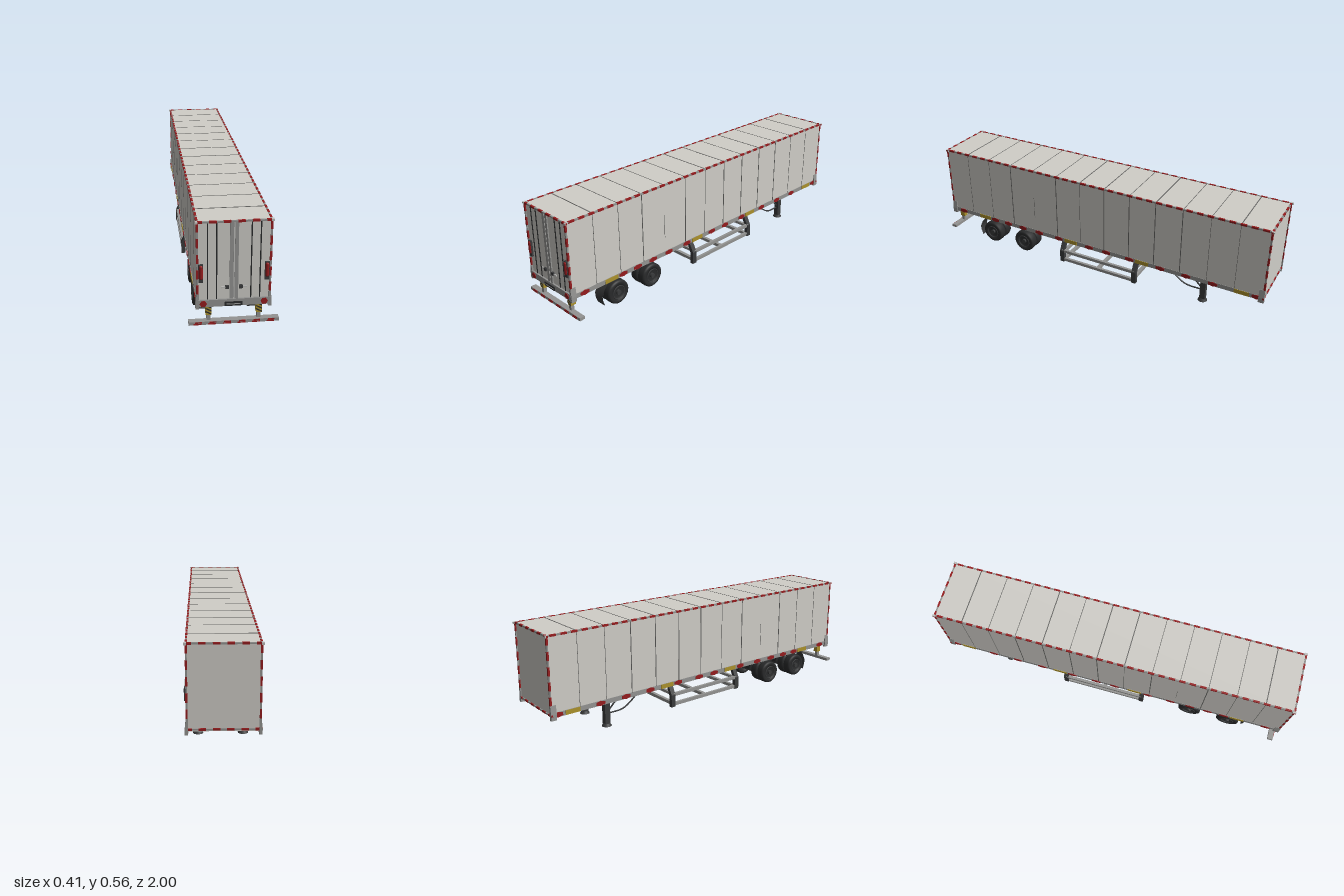
import * as THREE from 'three';

const mat = (name, color, side = THREE.FrontSide) => {
  const m = new THREE.MeshStandardMaterial({ color, side });
  m.name = name;
  return m;
};

export function createModel() {
  const panel = mat('panelGrey', 0xd0cec8), metal = mat('metalGrey', 0x949492),
    dark = mat('darkSteel', 0x3a3b3c, THREE.DoubleSide), rubber = mat('rubber', 0x2a2b2c),
    red = mat('red', 0x961c1e), yellow = mat('yellow', 0xac922c), seamMat = mat('seamGrey', 0x686866),
    silver = mat('silver', 0xc0c0be);

  const root = new THREE.Group();
  root.name = 'boxTrailer';
  const body = new THREE.Group();
  body.name = 'body';
  body.position.x = -0.004;
  root.add(body);

  const add = (name, geo, m, x, y, z, parent = body) => {
    const mesh = new THREE.Mesh(geo, m);
    mesh.name = name;
    mesh.position.set(x, y, z);
    parent.add(mesh);
    return mesh;
  };
  const box = (name, m, w, h, d, x, y, z, parent) =>
    add(name, new THREE.BoxGeometry(w, h, d), m, x, y, z, parent);
  const poly = (pts) => new THREE.Shape(pts.map(([x, y]) => new THREE.Vector2(x, y)));
  const slab = (pts, depth) => new THREE.ExtrudeGeometry(poly(pts), { depth, bevelEnabled: false })
    .translate(0, 0, -depth / 2);
  const SIDES = [-1, 1];

  // cargo box and floor
  box('cargoBox', panel, 0.326, 0.39, 1.971, 0, 0.358, -0.0025);
  box('floor', panel, 0.32, 0.014, 1.96, 0, 0.157, -0.0025);

  // panel seams over roof and sides: wide ones, hairlines and one short seam
  for (let i = 0; i < 12; i++) {
    const z = 0.835 - i * 0.1518;
    box('roofSeam', seamMat, 0.32, 0.002, [0, 5, 6, 8, 11].includes(i) ? 0.005 : 0.003, 0, 0.5533, z);
    const wide = [2, 4, 6, 7, 8, 9].includes(i);
    for (const s of SIDES) {
      if (i === 3) box('shortSeam', seamMat, 0.002, 0.13, 0.002, s * 0.1635, 0.32, z);
      else box('sideSeam', seamMat, 0.002, 0.375, wide ? 0.0045 : 0.002, s * 0.1635, 0.36, z);
    }
  }

  // edge trim with red reflective dashes; axis selects the running direction
  const trim = (axis, len, x, y, z, n, period, fill) => {
    const t = 0.008;
    const size = (l, k) => ['x', 'y', 'z'].map((a) => (a === axis ? l : k));
    box('edgeTrim', metal, ...size(len, t), x, y, z);
    for (let i = 0; i < n; i++) {
      const p = new THREE.Vector3(x, y, z);
      p[axis] += (i + 0.5 - n / 2) * period;
      box('reflectiveDash', red, ...size(period * fill, t + 0.0016), p.x, p.y, p.z);
    }
  };
  for (const s of SIDES) {
    trim('z', 1.97, s * 0.161, 0.551, -0.003, 35, 0.0562, 0.6);
    for (const z of [-0.989, 0.985]) trim('y', 0.34, s * 0.161, 0.382, z, 5, 0.074, 0.58);
  }
  for (const z of [-0.989, 0.985]) trim('x', 0.32, 0, 0.551, z, 6, 0.062, 0.52);
  trim('x', 0.32, 0, 0.162, -0.989, 6, 0.062, 0.52);

  // corner castings at the top and flared post feet at the bottom
  for (const s of SIDES) for (const z of [-0.992, 0.984]) {
    box('cornerCap', silver, 0.012, 0.01, 0.016, s * 0.165, 0.551, z);
    const foot = slab([[0.155, 0.137], [0.17, 0.137], [0.17, 0.165], [0.165, 0.212], [0.155, 0.212]], 0.03);
    const m = add('postFoot', foot, metal, 0, 0, z > 0 ? 0.976 : -0.979);
    if (s < 0) m.rotation.y = Math.PI;
  }

  // lower side rails with markers
  const lamp = new THREE.CylinderGeometry(1, 1, 1, 6);
  lamp.rotateZ(Math.PI / 2).rotateX(Math.PI / 2).scale(0.004, 0.013, 0.029);
  const yellowZ = [0.745, 0.14, -0.31, -0.875];
  const redZ = [0.91, 0.67, 0.575, 0.47, 0.355, 0.22, 0.02, -0.09, -0.235, -0.42, -0.57, -0.72, -0.955];
  for (const s of SIDES) {
    box('lowerRail', metal, 0.008, 0.025, 1.96, s * 0.161, 0.161, -0.0025);
    for (const z of yellowZ) box('yellowMarker', yellow, 0.004, 0.023, 0.08, s * 0.1655, 0.161, z);
    for (const z of redZ) add('sideMarker', lamp, red, s * 0.166, 0.161, z);
  }

  // rear doors: seams, centre post, handles, sill
  const Z = 0.984;
  for (const s of SIDES) {
    for (const x of [0.076, 0.116]) box('doorSeam', rubber, 0.005, 0.365, 0.004, s * x, 0.363, Z);
    box('centrePost', metal, 0.016, 0.368, 0.01, s * 0.011, 0.364, Z);
    box('doorHandle', silver, 0.034, 0.007, 0.005, s * 0.041, 0.241, Z + 0.006);
    box('handleLatch', dark, 0.016, 0.015, 0.01, s * 0.0305, 0.241, Z + 0.006);
    // tail lights
    box('lightPlate', dark, 0.02, 0.086, 0.01, s * 0.146, 0.312, Z + 0.004);
    const light = new THREE.CapsuleGeometry(0.0088, 0.052, 4, 10);
    add('tailLight', light, red, s * 0.1455, 0.318, Z + 0.007);
    const hex = new THREE.CylinderGeometry(0.016, 0.016, 0.006, 6).rotateX(Math.PI / 2).rotateZ(Math.PI / 6);
    add('hexReflector', hex, red, s * 0.136, 0.164, Z + 0.009);
  }
  box('lockRod', silver, 0.005, 0.368, 0.012, 0, 0.364, Z);
  box('rearSill', metal, 0.33, 0.034, 0.02, 0, 0.164, Z - 0.002);
  box('plateHolder', rubber, 0.08, 0.02, 0.006, -0.002, 0.159, Z + 0.009);
  box('plateBar', metal, 0.064, 0.004, 0.003, -0.002, 0.159, Z + 0.0125);

  // rear underride bumper with striped supports
  const bumper = new THREE.Group();
  bumper.name = 'bumper';
  root.add(bumper);
  box('bumperBar', metal, 0.41, 0.016, 0.03, 0, 0.059, 0.967, bumper);
  for (let i = 0; i < 6; i++) {
    const x = -0.165 + i * 0.066;
    box('bumperDash', red, 0.031, 0.006, 0.003, x + 0.004, 0.063, 0.9825, bumper);
    box('bumperDash', red, 0.036, 0.006, 0.003, x, 0.055, 0.9825, bumper);
  }
  for (const s of SIDES) {
    box('bumperSupport', yellow, 0.026, 0.054, 0.03, s * 0.114, 0.122, 0.957, bumper);
    box('bumperStem', metal, 0.017, 0.04, 0.018, s * 0.114, 0.08, 0.96, bumper);
    for (let i = 0; i < 3; i++) {
      const y = 0.1 + i * 0.016;
      add('warningStripe', slab([[-0.013, y + 0.01], [0.013, y - 0.004], [0.013, y + 0.002], [-0.013, y + 0.016]], 0.002),
        rubber, s * 0.114, 0, 0.973, bumper);
    }
  }

  // dual wheels on two axles
  const tyre = new THREE.LatheGeometry([[0.0, -0.012], [0.014, -0.012], [0.016, -0.018], [0.036, -0.012], [0.038, -0.023],
    [0.055, -0.025], [0.063, -0.021], [0.065, -0.012], [0.065, 0.012], [0.063, 0.021], [0.055, 0.025],
    [0.038, 0.023], [0.036, 0.012], [0.016, 0.018], [0.014, 0.012], [0, 0.012]]
    .map(([r, y]) => new THREE.Vector2(r, y)), 32).rotateZ(Math.PI / 2);
  const hub = new THREE.CylinderGeometry(0.013, 0.013, 0.054, 16).rotateZ(Math.PI / 2);
  const ring = new THREE.TorusGeometry(0.036, 0.003, 6, 28).rotateY(Math.PI / 2);
  for (const z of [0.702, 0.473]) {
    const axle = new THREE.Group();
    axle.name = 'axle';
    axle.position.set(-0.003, 0.065, z);
    root.add(axle);
    for (const s of SIDES) {
      for (const x of [0.085, 0.138]) {
        add('tyre', tyre, rubber, s * x, 0, 0, axle);
        add('hub', hub, dark, s * x, 0, 0, axle);
      }
      add('rimRing', ring, dark, s * 0.161, 0, 0, axle);
      box('hanger', dark, 0.035, 0.03, 0.1, s * 0.112, 0.075, 0, axle);
    }
    box('axleBeam', dark, 0.13, 0.035, 0.03, 0, -0.01, 0, axle);
    // tapered suspension box
    add('suspensionBox', slab([[-0.058, 0.087], [-0.038, 0], [0.038, 0], [0.058, 0.087]], 0.11), rubber, 0, 0, 0, axle);
  }

  // narrow curved mud flaps behind the rear wheels
  for (const s of SIDES) {
    const pos = [], idx = [];
    [[0.147, 0.755], [0.115, 0.782], [0.078, 0.8], [0.05, 0.797], [0.02, 0.787]].forEach(([y, z], i) => {
      pos.push(s * 0.09, y, z, s * 0.15, y, z);
      if (i) idx.push(2 * i - 2, 2 * i, 2 * i - 1, 2 * i - 1, 2 * i, 2 * i + 1);
    });
    const g = new THREE.BufferGeometry();
    g.setAttribute('position', new THREE.Float32BufferAttribute(pos, 3));
    g.setIndex(s > 0 ? idx : idx.reverse());
    g.computeVertexNormals();
    add('mudFlap', g, dark, 0, 0, 0, root);
  }

  // side guards on cranked posts, joined by cross beams
  const guard = new THREE.Group();
  guard.name = 'sideGuard';
  guard.position.set(0.004, 0, -0.045);
  root.add(guard);
  const post = slab([[0.164, 0.032], [0.184, 0.032], [0.184, 0.1], [0.165, 0.137], [0.158, 0.15], [0.138, 0.15], [0.164, 0.095]], 0.026);
  for (const s of SIDES) {
    for (const z of [-0.23, 0.23]) {
      const m = add('guardPost', post, dark, 0, 0, z, guard);
      if (s < 0) m.rotation.y = Math.PI;
    }
    for (const y of [0.046, 0.1]) box('guardRail', metal, 0.015, 0.017, 0.46, s * 0.174, y, 0, guard);
  }
  for (const z of [-0.22, 0, 0.22]) box('crossBeam', metal, 0.335, 0.017, 0.018, 0, 0.046, z, guard);
  for (const z of [-0.22, 0.22]) box('crossBeam', metal, 0.335, 0.015, 0.016, 0, 0.1, z, guard);

  // landing legs with round feet and curved braces
  for (const s of SIDES) {
    const x = s * 0.11;
    box('landingLeg', dark, 0.028, 0.14, 0.03, x, 0.085, -0.655, root);
    add('landingFoot', new THREE.CylinderGeometry(0.018, 0.026, 0.014, 20), dark, x, 0.012, -0.655, root);
    const path = new THREE.CatmullRomCurve3([[-0.45, 0.15], [-0.5, 0.105], [-0.555, 0.074], [-0.65, 0.07]]
      .map(([z, y]) => new THREE.Vector3(x, y, z)));
    add('legBrace', new THREE.TubeGeometry(path, 16, 0.004, 6), dark, 0, 0, 0, root);
    const strut = box('legStrut', dark, 0.006, 0.095, 0.006, x, 0.115, -0.61, root);
    strut.rotation.x = 0.8;
  }
  return root;
}
